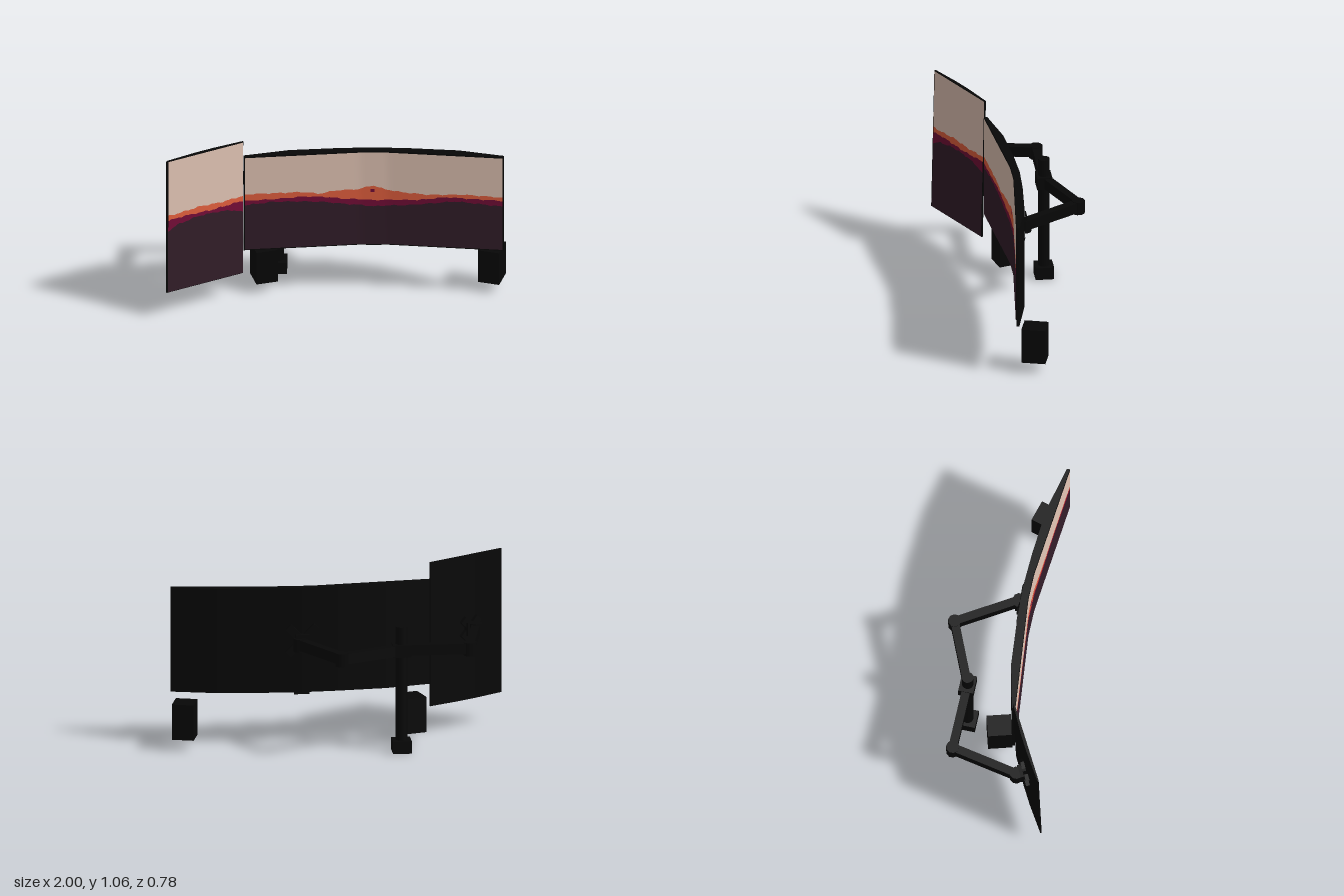
import * as THREE from 'three';

const mat = (name, color) => {
  const m = new THREE.MeshStandardMaterial({ color });
  m.name = name;
  return m;
};

// Extrudes an x/z outline upwards between two heights.
function prism(outline, y0, y1) {
  const shape = new THREE.Shape(outline.map(([x, z]) => new THREE.Vector2(x, -z)));
  const g = new THREE.ExtrudeGeometry(shape, { depth: y1 - y0, bevelEnabled: false });
  g.rotateX(-Math.PI / 2);
  g.translate(0, y0, 0);
  return g;
}

// Linear interpolation through a list of [x, y] points.
function sample(points, x) {
  let i = 1;
  while (i < points.length - 1 && points[i][0] < x) i++;
  const [ax, ay] = points[i - 1], [bx, by] = points[i];
  return ay + (by - ay) * THREE.MathUtils.clamp((x - ax) / (bx - ax), 0, 1);
}

// Smooth strip between two height functions, following the screen depth.
function band(x0, x1, low, high, depth, n = 64) {
  const pos = [], idx = [];
  for (let i = 0; i <= n; i++) {
    const x = x0 + ((x1 - x0) * i) / n, z = depth(x);
    pos.push(x, low(x), z, x, high(x), z);
    if (i < n) idx.push(2 * i, 2 * i + 2, 2 * i + 1, 2 * i + 1, 2 * i + 2, 2 * i + 3);
  }
  const g = new THREE.BufferGeometry();
  g.setAttribute('position', new THREE.Float32BufferAttribute(pos, 3));
  g.setIndex(idx);
  g.computeVertexNormals();
  return g;
}

export function createModel() {
  const model = new THREE.Group();
  const black = mat('black plastic', 0x070707);
  const sky = mat('pale sky', 0xe6c8b8);
  const orange = mat('orange ridge', 0xe7613f);
  const maroon = mat('maroon ridge', 0x760d38);
  const dusk = mat('dark foreground', 0x331e2a);

  const add = (parent, name, geo, material, x = 0, y = 0, z = 0) => {
    const m = new THREE.Mesh(geo, material);
    m.name = name;
    m.position.set(x, y, z);
    parent.add(m);
    return m;
  };

  // Landscape picture made of four stacked colour bands
  function picture(parent, x0, x1, y0, y1, ridges, depth) {
    const jag = (k) => (x) => sample(ridges[k], x) + 0.003 * Math.sin(x * 61 + k * 2) + 0.002 * Math.sin(x * 137 + k);
    const levels = [() => y0, jag(0), jag(1), jag(2), () => y1];
    [dusk, maroon, orange, sky].forEach((m, i) =>
      add(parent, m.name + ' band', band(x0, x1, levels[i], levels[i + 1], depth), m));
  }

  // Wide curved monitor
  const wide = new THREE.Group();
  wide.name = 'wideMonitor';
  model.add(wide);
  const cx = 0.22, half = 0.766;
  const face = [[cx - half, 0.13], [cx - 0.08, 0.061], [cx + 0.08, 0.061], [cx + half, 0.13]];
  add(wide, 'wideCasing', prism([
    ...face, [cx + half, 0.113], [cx + 0.5, 0.05],
    [cx + 0.21, 0.025], [cx, 0.016], [cx - 0.21, 0.025], [cx - 0.5, 0.05], [cx - half, 0.113],
  ], 0.32, 0.957), black);
  picture(wide, cx - half + 0.008, cx + half - 0.008, 0.327, 0.949, [
    [[-0.54, 0.628], [-0.37, 0.643], [-0.2, 0.636], [-0.07, 0.625], [0.06, 0.603], [0.22, 0.583], [0.43, 0.6], [0.57, 0.621], [0.7, 0.641], [0.98, 0.622]],
    [[-0.54, 0.657], [-0.31, 0.663], [-0.18, 0.668], [-0.07, 0.66], [0.03, 0.642], [0.22, 0.625], [0.48, 0.637], [0.64, 0.666], [0.98, 0.66]],
    [[-0.54, 0.703], [-0.2, 0.7], [-0.1, 0.682], [0, 0.7], [0.13, 0.7], [0.215, 0.727], [0.28, 0.7], [0.38, 0.685], [0.54, 0.676], [0.75, 0.69], [0.98, 0.683]],
  ], (x) => sample(face, x) + 0.003);
  add(wide, 'distantSpot', new THREE.BoxGeometry(0.024, 0.018, 0.004), maroon, 0.212, 0.692, 0.064);
  add(wide, 'chinSensor', new THREE.BoxGeometry(0.09, 0.03, 0.012), black, cx, 0.32, 0.032);

  // Upright monitor, turned inward and leaning slightly back
  const upright = new THREE.Group();
  upright.name = 'uprightMonitor';
  upright.position.set(-0.772, 0.62, 0.258);
  upright.rotation.set(-0.018, 0.498, -0.011, 'YXZ');
  model.add(upright);
  add(upright, 'uprightCasing', prism([
    [-0.255, 0], [0.255, 0], [0.255, -0.008], [0.06, -0.018], [-0.06, -0.018], [-0.255, -0.008],
  ], -0.442, 0.442), black);
  const local = (pts) => pts.map(([x, y]) => [x, y - 0.62]);
  picture(upright, -0.247, 0.252, -0.438, 0.438, [
    [[-0.25, 0.592], [-0.18, 0.622], [-0.05, 0.642], [0.07, 0.638], [0.17, 0.625], [0.25, 0.592]],
    [[-0.25, 0.662], [-0.15, 0.668], [0.05, 0.66], [0.25, 0.667]],
    [[-0.25, 0.695], [-0.15, 0.697], [-0.03, 0.705], [0.1, 0.695], [0.25, 0.7]],
  ].map(local), () => 0.003);

  // Stand: foot, pole and collar
  const stand = new THREE.Group();
  stand.name = 'stand';
  model.add(stand);
  const pole = [-0.345, -0.197], armY = 0.622;
  add(stand, 'foot', new THREE.BoxGeometry(0.11, 0.075, 0.11), black, pole[0], 0.0375, pole[1]);
  add(stand, 'pole', new THREE.CylinderGeometry(0.035, 0.035, 0.69, 12), black, pole[0], 0.42, pole[1]);
  add(stand, 'collar', new THREE.BoxGeometry(0.11, 0.075, 0.09), black, pole[0], armY, pole[1]);

  // Two folding arms running from the pole to the monitors
  function arm(name, points) {
    const g = new THREE.Group();
    g.name = name;
    model.add(g);
    for (let i = 1; i < points.length; i++) {
      const [ax, az] = points[i - 1], [bx, bz] = points[i];
      const beam = add(g, 'armBeam', new THREE.BoxGeometry(Math.hypot(bx - ax, bz - az), 0.064, 0.05),
        black, (ax + bx) / 2, armY, (az + bz) / 2);
      beam.rotation.y = -Math.atan2(bz - az, bx - ax);
      add(g, 'armJoint', new THREE.CylinderGeometry(0.039, 0.039, 0.08, 10), black, bx, armY - 0.004, bz);
    }
  }
  arm('wideMonitorArm', [pole, [0.025, -0.355], [0.235, -0.012]]);
  arm('uprightMonitorArm', [pole, [-0.75, -0.2], [-0.83, 0.2]]);

  // Cross-shaped mounting brackets
  function bracket(parent, name, size, x, y, z) {
    const g = new THREE.Group();
    g.name = name;
    g.position.set(x, y, z);
    parent.add(g);
    for (const s of [-1, 1]) {
      const bar = add(g, 'bracketBar', new THREE.BoxGeometry(size, 0.045, 0.024), black);
      bar.rotation.z = (s * Math.PI) / 4;
    }
    add(g, 'bracketHub', new THREE.BoxGeometry(0.08, 0.08, 0.04), black, 0, 0, -0.012);
  }
  bracket(model, 'wideBracket', 0.238, cx, 0.64, 0.007);
  bracket(upright, 'uprightBracket', 0.16, -0.02, 0, -0.028);

  // Pair of speakers, angled inward
  for (const s of [-1, 1]) {
    const box = add(model, s < 0 ? 'rightSpeaker' : 'leftSpeaker', new THREE.BoxGeometry(0.13, 0.215, 0.143),
      black, s < 0 ? -0.427 : 0.914, 0.176, 0.012);
    box.rotation.y = -s * 0.28;
  }
  return model;
}
